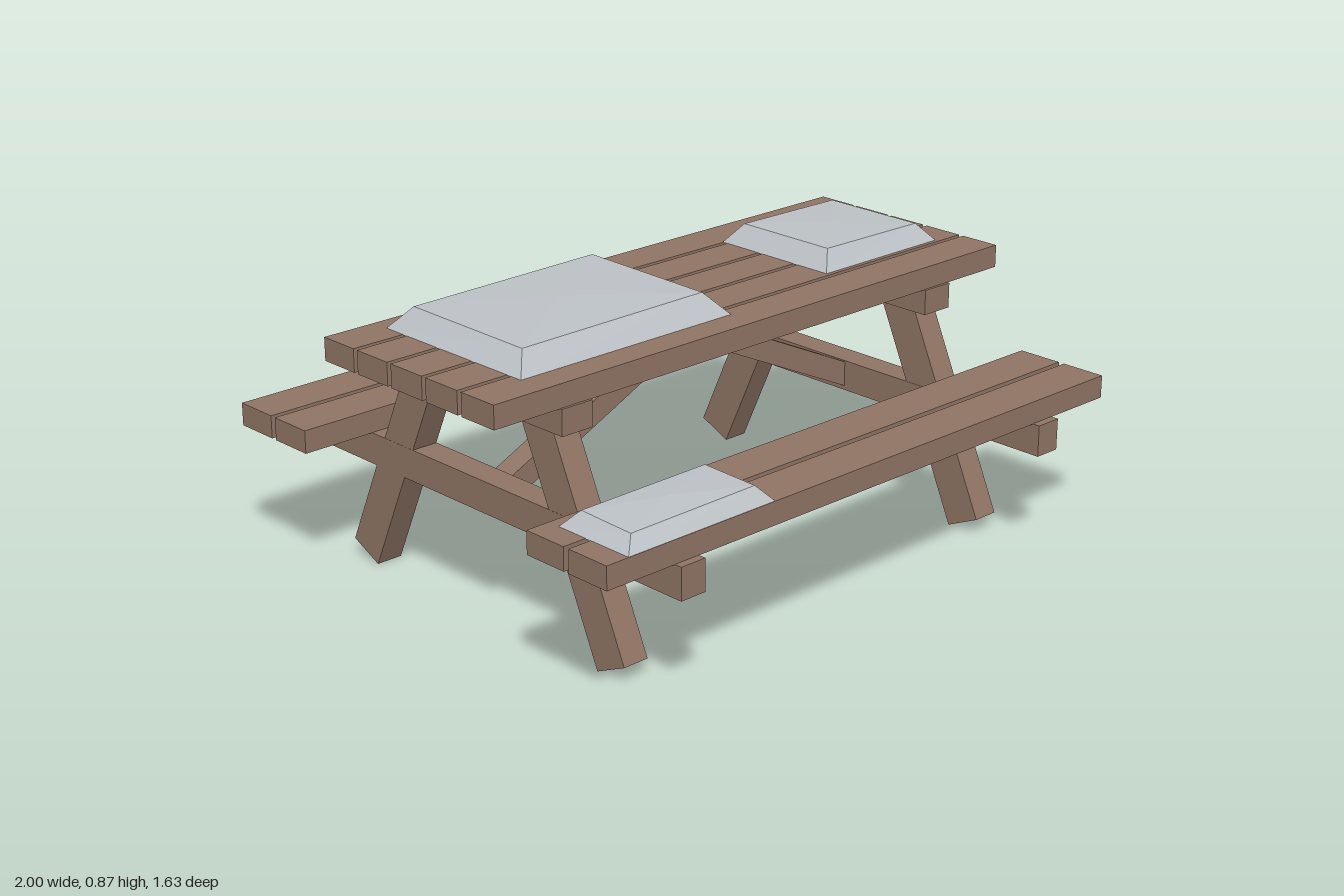
import * as THREE from 'three';

const wood = new THREE.MeshStandardMaterial({ color: 0x8f7464 });
wood.name = 'weatheredWood';
const snow = new THREE.MeshStandardMaterial({ color: 0xbcc1c5 });
snow.name = 'paleSnow';

export function createModel() {
  const model = new THREE.Group();
  model.name = 'picnicTable';

  function box(name, w, h, d, x, y, z) {
    const mesh = new THREE.Mesh(new THREE.BoxGeometry(w, h, d), wood);
    mesh.name = name;
    mesh.position.set(x, y, z);
    model.add(mesh);
    return mesh;
  }

  // Table top: five planks
  for (let i = -2; i <= 2; i++) {
    box('tablePlank', 2, 0.07, 0.133, 0, 0.767, -0.003 + i * 0.149);
  }

  // Benches: two planks each
  for (const side of [-1, 1]) {
    for (const z of [0.556, 0.72]) {
      box('benchPlank', 2, 0.07, 0.145, 0, 0.455, side * z - 0.002);
    }
  }

  // End frames: beams, splayed legs and diagonal brace
  const legTilt = Math.atan2(0.415, 0.91);
  const braceTilt = Math.atan(0.466);
  for (const end of [-1, 1]) {
    const x = end * 0.722;
    box('upperBeam', 0.108, 0.078, 0.74, x, 0.694, 0);
    box('lowerBeam', 0.086, 0.097, 1.63, x, 0.3725, 0);
    for (const side of [-1, 1]) {
      const leg = box('leg', 0.085, 0.727, 0.119, x, 0.359, side * 0.389);
      leg.rotation.x = -side * legTilt;
    }
    const brace = box('brace', 0.795, 0.072, 0.074, end * 0.36, 0.526, 0.003);
    brace.rotation.z = -end * braceTilt;
  }

  // Snow patch: bevelled slab whose top rises to a low peak
  function patch(name, base, top, y0, heights, peak) {
    const ring = ([x0, x1, z0, z1], ys) => [
      [x0, ys[0], z0], [x0, ys[1], z1], [x1, ys[2], z1], [x1, ys[3], z0],
    ];
    const lower = ring(base, [y0, y0, y0, y0]);
    const upper = ring(top, heights);
    const centre = [(top[0] + top[1]) / 2, peak, (top[2] + top[3]) / 2];
    const points = [];
    for (let i = 0; i < 4; i++) {
      const j = (i + 1) % 4;
      points.push(lower[i], lower[j], upper[j], lower[i], upper[j], upper[i]);
      points.push(upper[i], upper[j], centre);
    }
    points.push(lower[0], lower[2], lower[1], lower[0], lower[3], lower[2]);
    const geometry = new THREE.BufferGeometry();
    geometry.setAttribute('position', new THREE.Float32BufferAttribute(points.flat(), 3));
    geometry.computeVertexNormals();
    const mesh = new THREE.Mesh(geometry, snow);
    mesh.name = name;
    model.add(mesh);
  }

  patch('largeTableSnow', [-0.83, -0.05, -0.31, 0.27], [-0.775, -0.11, -0.252, 0.212],
    0.801, [0.867, 0.863, 0.868, 0.874], 0.878);
  patch('smallTableSnow', [0.415, 0.905, -0.24, 0.2], [0.465, 0.858, -0.195, 0.155],
    0.801, [0.86, 0.86, 0.856, 0.856], 0.862);
  patch('frontBenchSnow', [-0.925, -0.395, 0.52, 0.79], [-0.88, -0.435, 0.56, 0.75],
    0.489, [0.535, 0.53, 0.534, 0.538], 0.542);
  patch('backBenchSnow', [-0.375, 0.597, -0.798, -0.52], [-0.315, 0.55, -0.742, -0.57],
    0.489, [0.546, 0.544, 0.55, 0.552], 0.557);

  return model;
}
